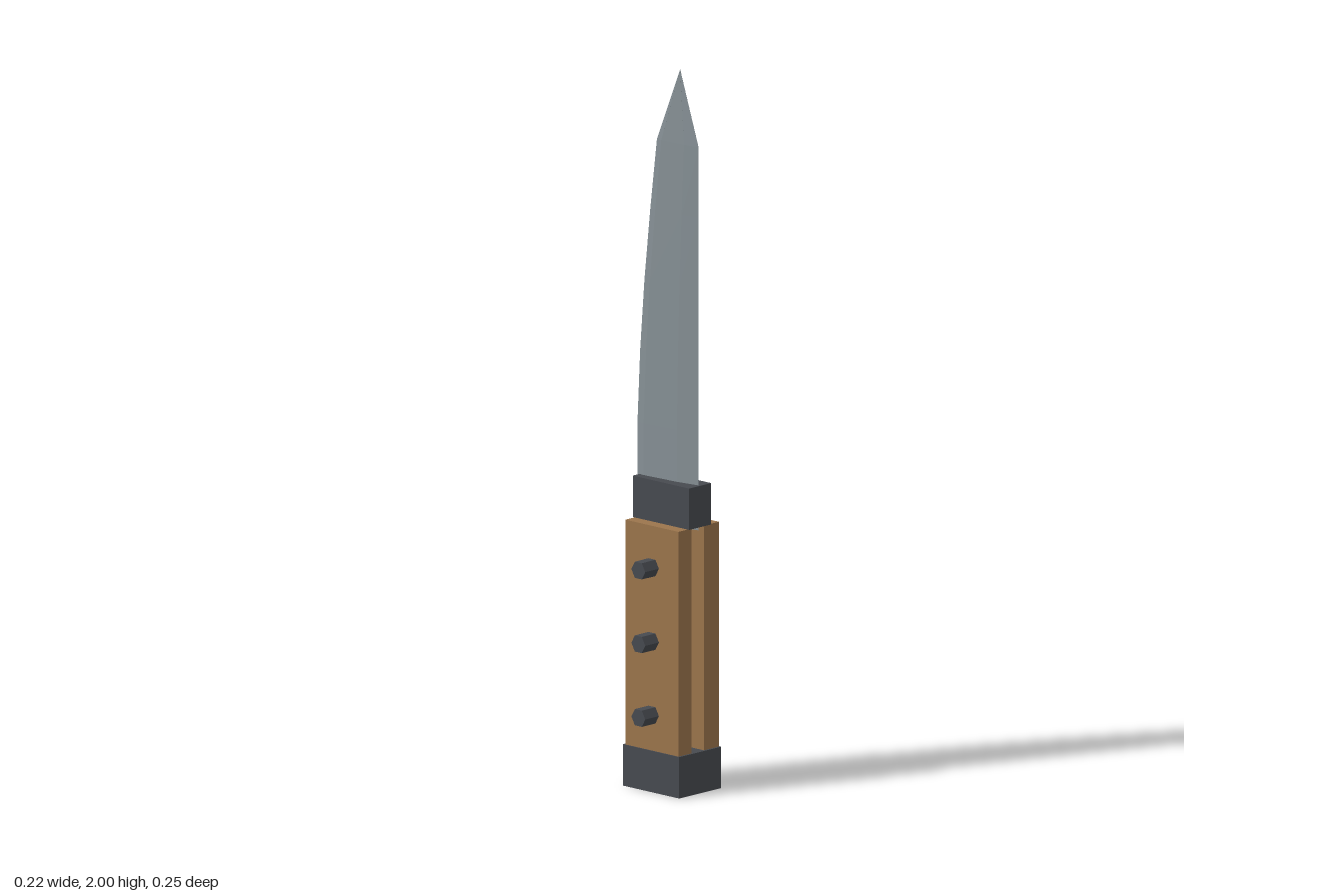
import * as THREE from 'three';

const steel = new THREE.MeshStandardMaterial({ color: 0x879196 });
steel.name = 'steel';
const darkMetal = new THREE.MeshStandardMaterial({ color: 0x474a50 });
darkMetal.name = 'darkMetal';
const wood = new THREE.MeshStandardMaterial({ color: 0x9b754c });
wood.name = 'wood';
for (const m of [steel, darkMetal, wood]) m.flatShading = true;

const MID_Z = -0.01; // centre plane of the knife

// Box given by its limits on each axis
function box(name, material, [x0, x1], [y0, y1], [z0, z1]) {
  const mesh = new THREE.Mesh(new THREE.BoxGeometry(x1 - x0, y1 - y0, z1 - z0), material);
  mesh.position.set((x0 + x1) / 2, (y0 + y1) / 2, (z0 + z1) / 2);
  mesh.name = name;
  return mesh;
}

function quadMesh(name, material, quads) {
  const pos = [];
  for (const [a, b, c, d] of quads) pos.push(...a, ...b, ...c, ...a, ...c, ...d);
  const g = new THREE.BufferGeometry();
  g.setAttribute('position', new THREE.Float32BufferAttribute(pos, 3));
  g.computeVertexNormals();
  const mesh = new THREE.Mesh(g, material);
  mesh.name = name;
  return mesh;
}

// Blade: cross-sections from spine (-x) to cutting edge (+x)
function makeBlade() {
  // y, spine x, edge x, thickness scale
  const sections = [
    [0.73, -0.111, 0.103, 1],
    [1.0, -0.111, 0.103, 1],
    [1.2, -0.102, 0.103, 0.94],
    [1.4, -0.087, 0.103, 0.86],
    [1.6, -0.067, 0.103, 0.72],
    [1.795, -0.045, 0.103, 0.55],
    [2.0, 0.034, 0.034, 0.03],
  ];
  // fraction of the width, half thickness
  const columns = [[0, 0.015], [0.12, 0.018], [0.67, 0.011], [1, 0]];
  const point = (j, i, side) => {
    const [y, xa, xb, s] = sections[j];
    const [u, h] = columns[i];
    return [xa + (xb - xa) * u, y, MID_Z + side * h * s];
  };
  const faces = [], spine = [];
  for (let j = 0; j < sections.length - 1; j++) {
    for (let i = 0; i < columns.length - 1; i++) {
      faces.push([point(j, i, 1), point(j, i + 1, 1), point(j + 1, i + 1, 1), point(j + 1, i, 1)]);
      faces.push([point(j, i + 1, -1), point(j, i, -1), point(j + 1, i, -1), point(j + 1, i + 1, -1)]);
    }
    spine.push([point(j, 0, -1), point(j, 0, 1), point(j + 1, 0, 1), point(j + 1, 0, -1)]);
  }
  // Heel
  for (let i = 0; i < columns.length - 1; i++) {
    spine.push([point(0, i, -1), point(0, i + 1, -1), point(0, i + 1, 1), point(0, i, 1)]);
  }
  const blade = new THREE.Group();
  blade.name = 'blade';
  blade.add(quadMesh('bladeFaces', steel, faces), quadMesh('bladeSpine', darkMetal, spine));
  return blade;
}

// Hexagonal pin through the handle, tapered at the back end
function makeRivet(y) {
  const rivet = new THREE.Group();
  rivet.name = 'rivet';
  const addPart = (name, rFront, rBack, z0, z1) => {
    const g = new THREE.CylinderGeometry(rFront, rBack, z1 - z0, 6);
    g.rotateY(Math.PI / 6 * 3); // corners on the x axis
    g.rotateX(Math.PI / 2);
    const mesh = new THREE.Mesh(g, darkMetal);
    mesh.name = name;
    mesh.position.z = (z0 + z1) / 2;
    rivet.add(mesh);
  };
  addPart('rivetShaft', 0.026, 0.027, -0.105, 0.122);
  addPart('rivetTip', 0.027, 0.016, -0.125, -0.105);
  rivet.position.set(0.004, y, 0);
  return rivet;
}

export function createModel() {
  const knife = new THREE.Group();
  knife.name = 'knife';
  knife.add(makeBlade());

  // Handle
  const metalX = [-0.102, 0.109], woodX = [-0.095, 0.103];
  knife.add(
    box('pommel', darkMetal, metalX, [0, 0.115], [-0.092, 0.072]),
    box('guard', darkMetal, metalX, [0.74, 0.855], [-0.053, 0.033]),
    box('tang', darkMetal, [-0.045, 0.053], [0.11, 0.745], [-0.031, 0.019]),
    box('frontScale', wood, woodX, [0.115, 0.74], [0.018, 0.069]),
    box('backScale', wood, woodX, [0.115, 0.74], [-0.089, -0.03]),
  );
  for (const y of [0.215, 0.42, 0.625]) knife.add(makeRivet(y));
  return knife;
}
